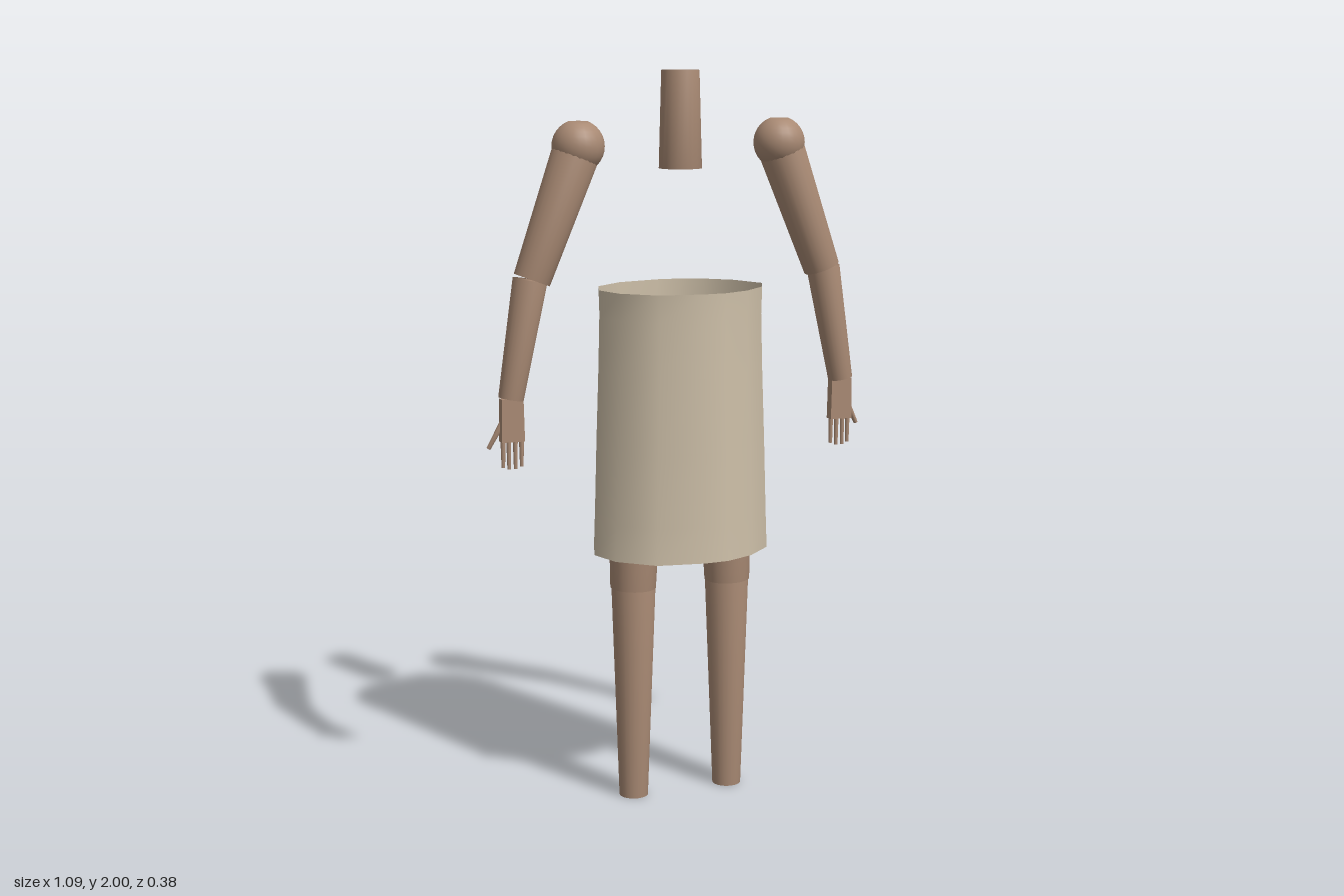
import * as THREE from 'three';
import { mergeVertices } from 'three/addons/utils/BufferGeometryUtils.js';

const skin = new THREE.MeshStandardMaterial({ color: 0xa98a74 });
skin.name = 'skin';
const cloth = new THREE.MeshStandardMaterial({ color: 0xcdbfa8, side: THREE.DoubleSide });
cloth.name = 'cloth';

// Shares vertices so the normals run smoothly over the rims
function smooth(geometry) {
  geometry.deleteAttribute('normal');
  geometry.deleteAttribute('uv');
  const merged = mergeVertices(geometry, 1e-5);
  merged.computeVertexNormals();
  return merged;
}

function add(parent, name, geometry, material = skin) {
  const mesh = new THREE.Mesh(geometry, material);
  mesh.name = name;
  parent.add(mesh);
  return mesh;
}

// Tapered round limb from point a (radius ra) to point b (radius rb)
function limb(parent, name, a, b, ra, rb, sides = 24) {
  const start = new THREE.Vector3(...a), end = new THREE.Vector3(...b);
  const dir = start.clone().sub(end);
  const mesh = add(parent, name, smooth(new THREE.CylinderGeometry(ra, rb, dir.length(), sides)));
  mesh.position.copy(start).add(end).multiplyScalar(0.5);
  mesh.quaternion.setFromUnitVectors(new THREE.Vector3(0, 1, 0), dir.normalize());
  return mesh;
}

function buildArm(s, side) {
  const arm = new THREE.Group();
  arm.name = side + 'Arm';

  // Shoulder ball with a shallow dimple on top
  const profile = [];
  for (let i = 0; i <= 14; i++) {
    const t = -Math.PI / 2 + (i / 14) * (Math.PI - 0.37);
    profile.push(new THREE.Vector2(Math.max(0, 0.07 * Math.cos(t)), 0.07 * Math.sin(t)));
  }
  profile.push(new THREE.Vector2(0, 0.062));
  add(arm, 'shoulder', new THREE.LatheGeometry(profile, 24)).position.set(s * 0.286, 1.805, 0);

  limb(arm, 'upperArm', [s * 0.288, 1.8, 0], [s * 0.417, 1.46, 0], 0.064, 0.05);
  limb(arm, 'forearm', [s * 0.422, 1.46, 0], [s * 0.479, 1.147, 0], 0.046, 0.034);

  // Palm, slightly wider at the knuckles
  const palm = new THREE.BoxGeometry(0.064, 0.115, 0.028);
  const p = palm.attributes.position;
  for (let i = 0; i < p.count; i++) if (p.getY(i) > 0) p.setX(i, p.getX(i) * 0.92);
  palm.computeVertexNormals();
  add(arm, 'palm', palm).position.set(s * 0.478, 1.09, 0);

  // Four fingers and an outer thumb
  [0.452, 0.469, 0.487, 0.503].forEach((x, i) => {
    const tip = i === 0 || i === 3 ? 0.963 : 0.957;
    limb(arm, 'finger', [s * x, 1.04, 0], [s * x, tip, 0], 0.007, 0.005, 8);
  });
  limb(arm, 'thumb', [s * 0.5, 1.085, -0.008], [s * 0.538, 1.013, -0.018], 0.009, 0.006, 8);
  return arm;
}

function buildLeg(s, side) {
  const leg = new THREE.Group();
  leg.name = side + 'Leg';
  add(leg, 'hip', new THREE.SphereGeometry(0.087, 28, 18)).position.set(s * 0.127, 1.08, 0);
  limb(leg, 'thigh', [s * 0.128, 1.08, 0], [s * 0.139, 0.6, 0], 0.081, 0.063);
  limb(leg, 'lowerLeg', [s * 0.138, 0.605, 0], [s * 0.14, 0, 0], 0.061, 0.04);
  return leg;
}

// Open, slightly uneven tube of cloth
function buildSkirt() {
  const outline = [
    [0.258, 0], [0.225, 0.08], [0.15, 0.15], [0.068, 0.187], [0, 0.191], [-0.13, 0.17], [-0.22, 0.09],
    [-0.25, 0], [-0.22, -0.095], [-0.13, -0.165], [0, -0.192], [0.067, -0.188], [0.137, -0.16], [0.208, -0.1],
  ];
  // Height, width factor, depth factor
  const rings = [[0.7, 1, 1], [0.8, 0.985, 0.985], [1, 0.96, 0.97], [1.2, 0.93, 0.95], [1.35, 0.915, 0.93], [1.424, 0.925, 0.93]];
  const n = outline.length, positions = [], index = [];
  rings.forEach(([y, w, d], r) => {
    outline.forEach(([x, z], i) => {
      positions.push(x * w, y, z * d);
      if (r === rings.length - 1) return;
      const a = r * n + i, b = r * n + (i + 1) % n;
      index.push(a, a + n, b, b, a + n, b + n);
    });
  });
  const g = new THREE.BufferGeometry();
  g.setAttribute('position', new THREE.Float32BufferAttribute(positions, 3));
  g.setIndex(index);
  g.computeVertexNormals();
  return g;
}

export function createModel() {
  const model = new THREE.Group();
  model.name = 'figure';
  limb(model, 'neck', [0, 2, 0], [0, 1.742, 0], 0.051, 0.058);
  add(model, 'skirt', buildSkirt(), cloth);
  for (const [s, side] of [[1, 'left'], [-1, 'right']]) {
    model.add(buildArm(s, side), buildLeg(s, side));
  }
  return model;
}
